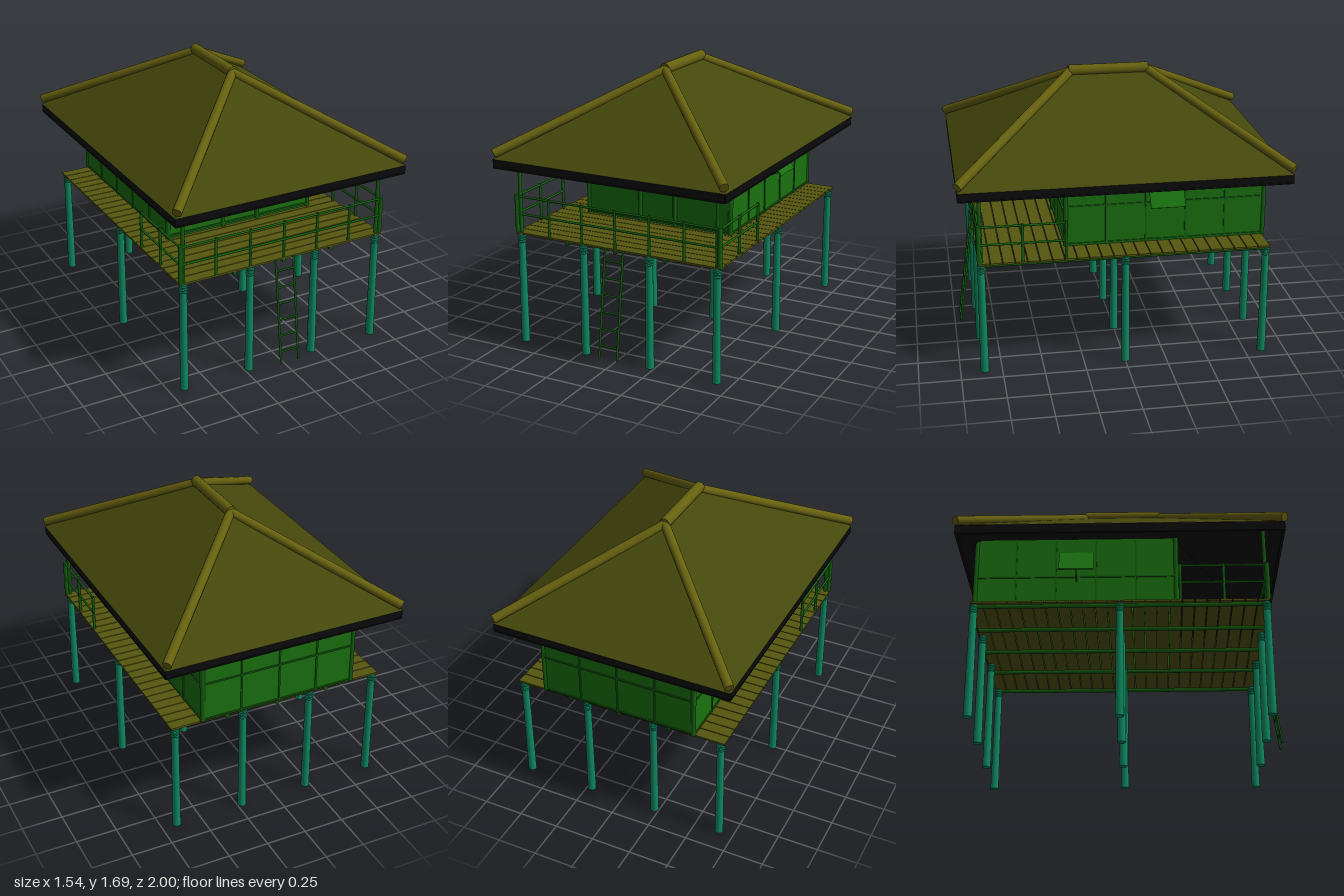
import * as THREE from 'three';

const mat = (color, side = THREE.FrontSide) => {
  const m = new THREE.MeshStandardMaterial({ color });
  m.side = side;
  return m;
};
const V = (x, y, z) => new THREE.Vector3(x, y, z);

export function createModel() {
  const model = new THREE.Group();
  const bamboo = mat(0x14600f), wallMat = mat(0x1a7010), stiltMat = mat(0x0f8a60);
  const plankMat = mat(0x56560f), thatchMat = mat(0x45480c), ridgeMat = mat(0x66600f);
  const eaveMat = mat(0x0b0b0d, THREE.DoubleSide);

  const group = (name) => {
    const g = new THREE.Group();
    g.name = name;
    model.add(g);
    return g;
  };
  const add = (parent, name, geo, material, x = 0, y = 0, z = 0) => {
    const m = new THREE.Mesh(geo, material);
    m.name = name;
    m.position.set(x, y, z);
    parent.add(m);
    return m;
  };
  const box = (parent, name, material, w, h, d, x, y, z) =>
    add(parent, name, new THREE.BoxGeometry(w, h, d), material, x, y, z);
  // Round pole between two points
  const pole = (parent, name, material, a, b, r, sides = 10) => {
    const dir = b.clone().sub(a);
    const m = add(parent, name, new THREE.CylinderGeometry(r, r, dir.length(), sides), material);
    m.position.copy(a).add(b).multiplyScalar(0.5);
    m.quaternion.setFromUnitVectors(V(0, 1, 0), dir.normalize());
    return m;
  };

  // Stilts with rope bands near the top
  const stilts = group('stilts');
  for (const x of [-0.655, -0.22, 0.22, 0.655]) {
    for (const z of [-0.855, 0, 0.855]) {
      add(stilts, 'stilt', new THREE.CylinderGeometry(0.022, 0.026, 0.7, 14), stiltMat, x, 0.35, z);
      for (const y of [0.65, 0.667, 0.684]) {
        add(stilts, 'ropeBand', new THREE.TorusGeometry(0.021, 0.006, 6, 14), stiltMat, x, y, z).rotation.x = Math.PI / 2;
      }
    }
  }

  // Floor: joists front to back, planks side to side
  const floor = group('floor');
  for (const x of [-0.655, -0.3275, 0, 0.3275, 0.655]) {
    pole(floor, 'joist', bamboo, V(x, 0.688, -0.87), V(x, 0.688, 0.87), 0.012);
  }
  const planks = 24, pitch = 1.75 / planks;
  for (let i = 0; i < planks; i++) {
    box(floor, 'plank', plankMat, 1.37, 0.012, pitch - 0.005, 0, 0.704, -0.875 + (i + 0.5) * pitch);
  }

  // Walls
  const walls = group('walls');
  const base = 0.71, top = 1.22, hw = 0.49, zF = 0.335, zB = -0.875;
  const h = top - base, yMid = (top + base) / 2, zMid = (zF + zB) / 2;
  box(walls, 'frontWall', wallMat, 2 * hw, h, 0.012, 0, yMid, zF);
  box(walls, 'backWall', wallMat, 2 * hw, h, 0.012, 0, yMid, zB);
  for (const s of [-1, 1]) box(walls, 'sideWall', wallMat, 0.012, h, zF - zB, s * hw, yMid, zMid);

  // Wall frame: corner posts, studs and rails
  const frame = group('wallFrame');
  for (const s of [-1, 1]) {
    for (const z of [zF, zB]) pole(frame, 'cornerPost', bamboo, V(s * hw, base, z), V(s * hw, top, z), 0.015);
    pole(frame, 'doorPost', bamboo, V(s * 0.12, base, zF + 0.008), V(s * 0.12, top, zF + 0.008), 0.014);
    for (let i = 1; i < 5; i++) {
      box(frame, 'sideStud', bamboo, 0.01, h, 0.01, s * (hw + 0.007), yMid, zB + (i * (zF - zB)) / 5);
    }
    for (const y of [0.722, 0.96]) box(frame, 'sideRail', bamboo, 0.01, 0.01, zF - zB, s * (hw + 0.007), y, zMid);
  }
  for (const x of [-0.245, 0, 0.245]) box(frame, 'backStud', bamboo, 0.01, h, 0.01, x, yMid, zB - 0.007);
  for (const y of [0.722, 0.96]) box(frame, 'backRail', bamboo, 2 * hw, 0.01, 0.01, 0, y, zB - 0.007);
  for (const y of [0.73, 0.93]) box(frame, 'frontRail', bamboo, 2 * hw, 0.012, 0.012, 0, y, zF + 0.01);

  // Propped-open window shutters
  const shutters = group('shutters');
  for (const s of [-1, 1]) {
    const shutter = box(shutters, 'shutter', wallMat, 0.008, 0.19, 0.21, s * 0.55, 1.04, -0.265);
    shutter.rotation.z = s * Math.atan2(0.1, 0.16);
    pole(shutters, 'shutterProp', bamboo, V(s * 0.495, 0.93, -0.265), V(s * 0.585, 0.97, -0.265), 0.004, 6);
  }

  // Veranda posts and railing
  const veranda = group('veranda');
  const rx = 0.675, rz = 0.865;
  for (const s of [-1, 1]) {
    pole(veranda, 'roofPost', bamboo, V(s * 0.655, base, 0.855), V(s * 0.655, 1.22, 0.855), 0.012);
    pole(veranda, 'cornerRailPost', bamboo, V(s * rx, base, rz), V(s * rx, 0.945, rz), 0.014);
    for (const z of [0.61, 0.355]) pole(veranda, 'sideRailPost', bamboo, V(s * rx, base, z), V(s * rx, 0.945, z), 0.009);
    for (const y of [0.825, 0.935]) pole(veranda, 'sideHandrail', bamboo, V(s * rx, y, 0.345), V(s * rx, y, rz), 0.007);
  }
  for (let i = -2; i <= 2; i++) {
    pole(veranda, 'frontRailPost', bamboo, V(i * 0.225, base, rz), V(i * 0.225, 0.945, rz), 0.008);
  }
  for (const y of [0.825, 0.935]) pole(veranda, 'frontHandrail', bamboo, V(-0.685, y, rz), V(0.685, y, rz), 0.007);

  // Leaning ladder
  const ladder = group('ladder');
  for (const s of [-1, 1]) pole(ladder, 'ladderRail', bamboo, V(s * 0.06, 0.05, 0.965), V(s * 0.06, 0.71, 0.875), 0.007);
  for (let i = 0; i < 6; i++) {
    const y = 0.125 + i * 0.102, z = 0.965 - ((y - 0.05) / 0.66) * 0.09;
    pole(ladder, 'rung', bamboo, V(-0.06, y, z), V(0.06, y, z), 0.006);
  }

  // Hipped thatch roof: outer slopes, dark fascia and dark underside
  const roof = group('roof');
  const ex = 0.76, ez = 0.98, rl = 0.245;
  const slopes = (eaveY, ridgeY) => {
    const e = [V(-ex, eaveY, ez), V(ex, eaveY, ez), V(ex, eaveY, -ez), V(-ex, eaveY, -ez)];
    const f = V(0, ridgeY, rl), b = V(0, ridgeY, -rl);
    return [e[0], e[1], f, e[1], e[2], b, e[1], b, f, e[2], e[3], b, e[3], e[0], f, e[3], f, b];
  };
  const surface = (points) => {
    const g = new THREE.BufferGeometry().setFromPoints(points);
    g.computeVertexNormals();
    return g;
  };
  add(roof, 'thatch', surface(slopes(1.18, 1.65)), thatchMat);
  add(roof, 'roofUnderside', surface(slopes(1.135, 1.605)), eaveMat);
  for (const s of [-1, 1]) {
    box(roof, 'frontBackFascia', eaveMat, 2 * ex - 0.01, 0.055, 0.015, 0, 1.152, s * (ez - 0.009));
    box(roof, 'sideFascia', eaveMat, 0.015, 0.055, 2 * ez - 0.01, s * (ex - 0.009), 1.152, 0);
  }

  // Ridge and hip bundles
  pole(roof, 'ridgeBundle', ridgeMat, V(0, 1.657, -0.245), V(0, 1.657, 0.245), 0.034, 16);
  for (const sx of [-1, 1]) {
    for (const sz of [-1, 1]) {
      pole(roof, 'hipBundle', ridgeMat, V(0, 1.65, sz * 0.235), V(sx * 0.75, 1.215, sz * 0.978), 0.028, 16);
    }
  }
  return model;
}
